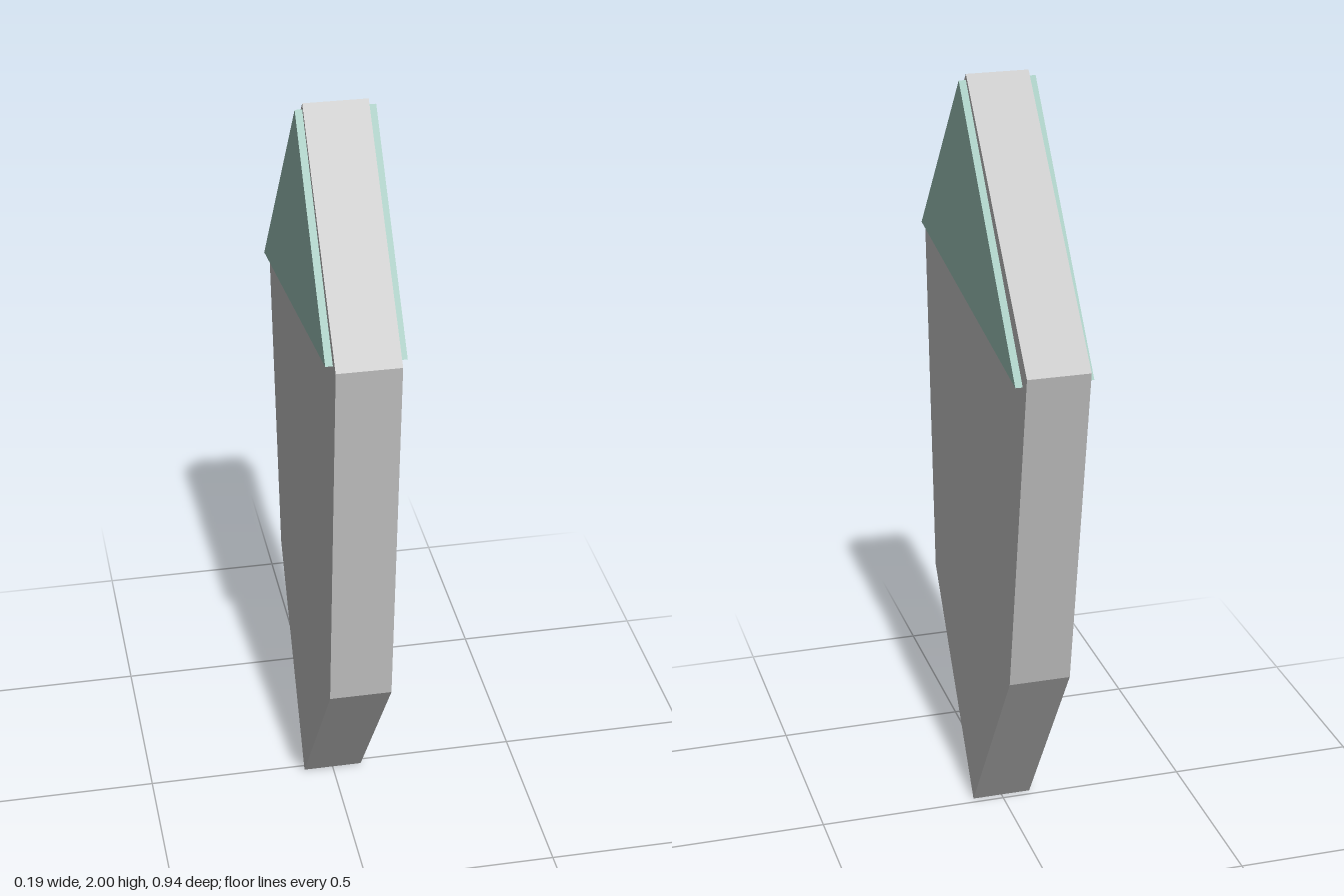
import * as THREE from 'three';

// Extrudes a (z, y) side outline across x, centred on the given x
function slab(name, outline, thickness, x, material) {
  const shape = new THREE.Shape(outline.map(([z, y]) => new THREE.Vector2(z, y)));
  const geometry = new THREE.ExtrudeGeometry(shape, { depth: thickness, bevelEnabled: false });
  geometry.translate(0, 0, -thickness / 2);
  geometry.rotateY(-Math.PI / 2);
  const mesh = new THREE.Mesh(geometry, material);
  mesh.name = name;
  mesh.position.x = x;
  return mesh;
}

export function createModel() {
  const stone = new THREE.MeshStandardMaterial({ color: 0xc0c0c0 });
  stone.name = 'pale grey';
  const teal = new THREE.MeshStandardMaterial({ color: 0x9ac0b6 });
  teal.name = 'soft teal';

  const model = new THREE.Group();
  model.name = 'shard';

  // Six-sided shard body
  const body = [[0.052, 2], [0.472, 1.51], [0.402, 0.53], [0.018, 0], [-0.332, 0.53], [-0.472, 1.403]];
  const halfWidth = 0.079;
  model.add(slab('body', body, halfWidth * 2, 0, stone));

  // Raised triangular facet on each side of the tip
  const facet = [[0.052, 1.985], [0.438, 1.512], [-0.438, 1.372]];
  const raise = 0.018;
  for (const [name, side] of [['leftFacet', 1], ['rightFacet', -1]]) {
    model.add(slab(name, facet, raise, side * (halfWidth + raise / 2), teal));
  }
  return model;
}
